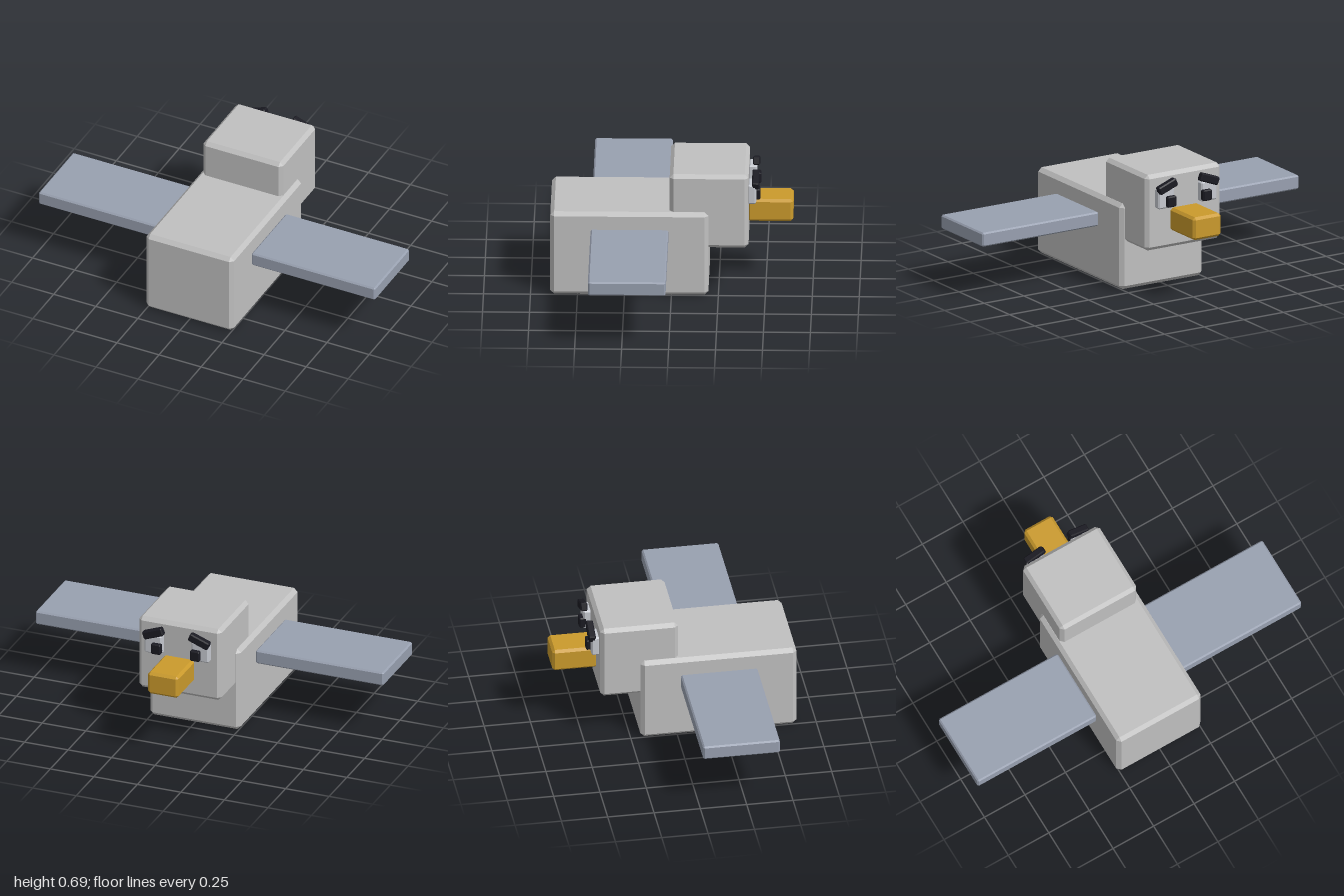
import * as THREE from 'three';
import { ConvexGeometry } from 'three/addons/geometries/ConvexGeometry.js';

const material = (name, color) => {
  const m = new THREE.MeshStandardMaterial({ color });
  m.name = name;
  return m;
};

// Box with every edge chamfered by c: three corner points per corner, wrapped in a hull
function chamferBox(w, h, d, c) {
  const points = [];
  for (const x of [-1, 1]) for (const y of [-1, 1]) for (const z of [-1, 1]) {
    const X = x * w / 2, Y = y * h / 2, Z = z * d / 2;
    points.push(
      new THREE.Vector3(X, Y - y * c, Z - z * c),
      new THREE.Vector3(X - x * c, Y, Z - z * c),
      new THREE.Vector3(X - x * c, Y - y * c, Z),
    );
  }
  return new ConvexGeometry(points);
}

export function createModel() {
  const grey = material('plumage grey', 0xc0c0c0);
  const blueGrey = material('wing blue grey', 0x98a0b0);
  const gold = material('beak gold', 0xca9a2c);
  const pale = material('eye pale grey', 0xc6c9d0);
  const dark = material('near black', 0x1a1a22);

  const model = new THREE.Group();
  model.name = 'blockBird';

  // Adds a chamfered block spanning the given ranges on each axis
  function block(name, mat, [x0, x1], [y0, y1], [z0, z1], chamfer) {
    const mesh = new THREE.Mesh(chamferBox(x1 - x0, y1 - y0, z1 - z0, chamfer), mat);
    mesh.name = name;
    mesh.position.set((x0 + x1) / 2, (y0 + y1) / 2, (z0 + z1) / 2);
    model.add(mesh);
    return mesh;
  }

  // Body, head and beak; the bird looks towards -z
  block('body', grey, [-0.26, 0.26], [0, 0.475], [-0.197, 0.645], 0.021);
  block('head', grey, [-0.237, 0.237], [0.265, 0.685], [-0.41, 0.01], 0.02);
  block('beak', gold, [-0.088, 0.088], [0.36, 0.487], [-0.645, -0.4], 0.014);

  // Paired parts, given as distances from the centre line
  for (const s of [-1, 1]) {
    const side = s > 0 ? 'left' : 'right';
    const span = (a, b) => (s > 0 ? [a, b] : [-b, -a]);
    block(side + 'Wing', blueGrey, span(0.265, 1), [0.306, 0.384], [0.016, 0.43], 0.008);
    block(side + 'Eye', pale, span(0.085, 0.185), [0.5, 0.61], [-0.45, -0.405], 0.008);
    block(side + 'Pupil', dark, span(0.085, 0.14), [0.508, 0.568], [-0.472, -0.43], 0.006);
    // Brow, with its outer end drooping
    const brow = block(side + 'Brow', dark, span(0.073, 0.191), [0.6, 0.645], [-0.466, -0.428], 0.006);
    brow.rotation.z = -s * 0.36;
  }
  return model;
}
